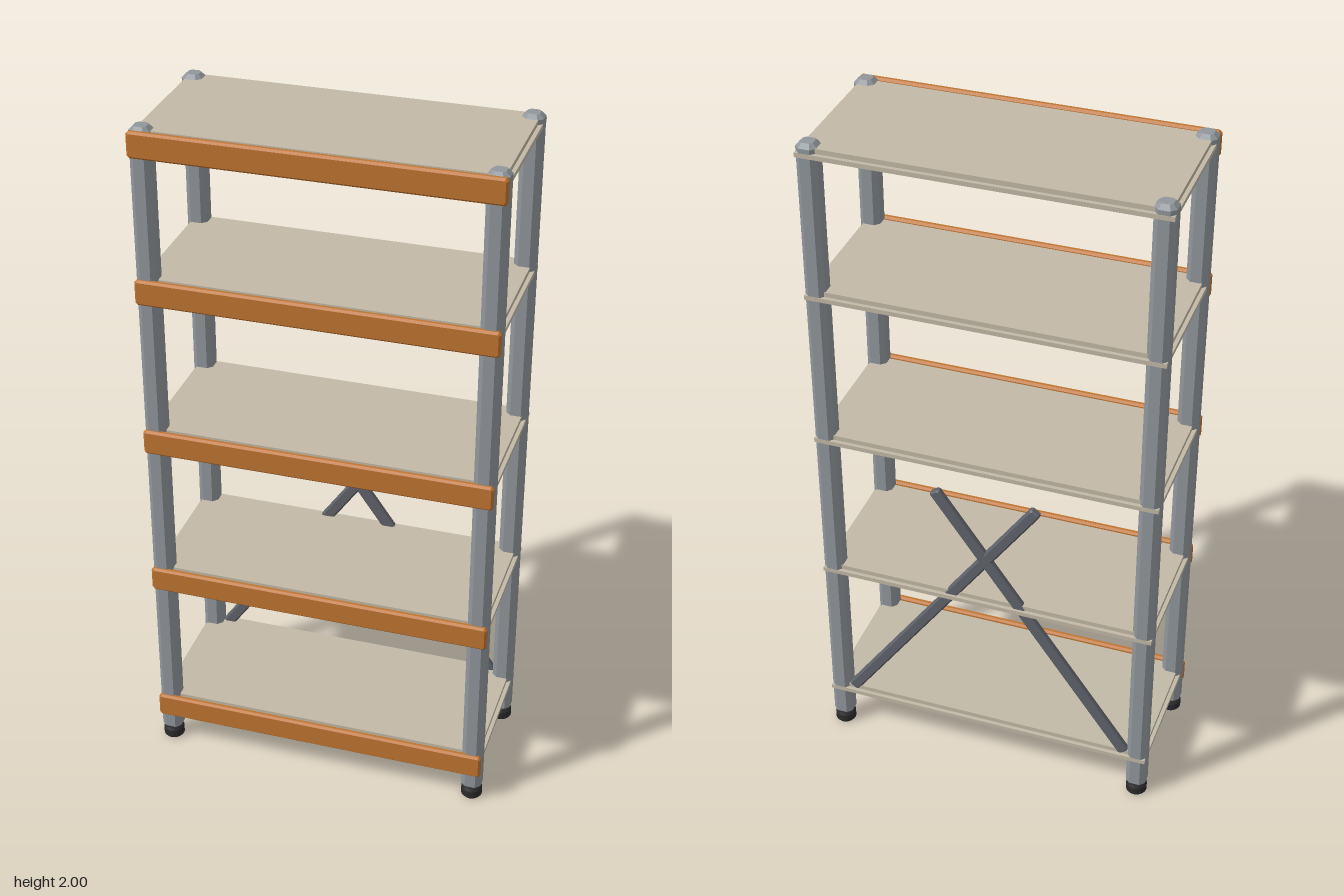
import * as THREE from 'three';

const paint = (name, color) => Object.assign(new THREE.MeshStandardMaterial({ color }), { name });

// Box centred on the origin with every edge chamfered by b
function chamferBox(w, h, d, b) {
  const x = w / 2 - b, y = h / 2 - b, c = b * 0.6;
  const outline = new THREE.Shape([
    [-x + c, -y], [x - c, -y], [x, -y + c], [x, y - c],
    [x - c, y], [-x + c, y], [-x, y - c], [-x, -y + c],
  ].map(([u, v]) => new THREE.Vector2(u, v)));
  const geo = new THREE.ExtrudeGeometry(outline, {
    depth: d - 2 * b, bevelEnabled: true, bevelSize: b, bevelThickness: b, bevelSegments: 1,
  });
  return geo.translate(0, 0, b - d / 2);
}

export function createModel() {
  const model = new THREE.Group();
  model.name = 'shelvingUnit';
  const steel = paint('greySteel', 0x90969b);
  const orange = paint('orangeBeam', 0xbf742f);
  const board = paint('beigeBoard', 0xc2b9a6);
  const dark = paint('darkSteel', 0x5f626a);
  const rubber = paint('blackRubber', 0x2b2b2d);

  const add = (name, geo, mat, x, y, z) => {
    const mesh = new THREE.Mesh(geo, mat);
    mesh.name = name;
    mesh.position.set(x, y, z);
    model.add(mesh);
    return mesh;
  };

  // Four chamfered posts on rubber feet
  const postGeo = chamferBox(0.059, 0.059, 1.965, 0.012).rotateX(-Math.PI / 2);
  const footGeo = new THREE.LatheGeometry([
    [0, 0], [0.026, 0], [0.031, 0.006], [0.031, 0.028], [0.026, 0.037], [0, 0.037],
  ].map(([r, y]) => new THREE.Vector2(r, y)), 20).toNonIndexed();
  footGeo.computeVertexNormals();
  for (const x of [-0.47, 0.47]) {
    for (const z of [-0.195, 0.186]) {
      add('post', postGeo, steel, x, 1.0175, z);
      add('foot', footGeo, rubber, x, 0, z);
    }
  }

  // Shelves: an inset top panel on a slightly wider tray, with a front beam
  const panelGeo = new THREE.BoxGeometry(0.974, 0.014, 0.41);
  const trayGeo = new THREE.BoxGeometry(0.996, 0.013, 0.432);
  const beamGeo = chamferBox(1, 0.074, 0.02, 0.006);
  for (const top of [0.165, 0.632, 1.099, 1.566, 1.989]) {
    add('shelfPanel', panelGeo, board, 0, top - 0.007, -0.009);
    add('shelfTray', trayGeo, board, 0, top - 0.0205, -0.009);
    add('frontBeam', beamGeo, orange, 0, top - 0.034, 0.215);
  }

  // Crossed braces between the rear posts
  const foot = new THREE.Vector2(-0.43, 0.155), tip = new THREE.Vector2(0.15, 0.977);
  const run = tip.clone().sub(foot), mid = foot.clone().add(tip).multiplyScalar(0.5);
  const braceGeo = chamferBox(run.length(), 0.034, 0.024, 0.005);
  for (const side of [1, -1]) {
    const brace = add('rearBrace', braceGeo, dark, side * mid.x, mid.y, -0.205);
    brace.rotation.z = side * run.angle();
  }
  return model;
}
